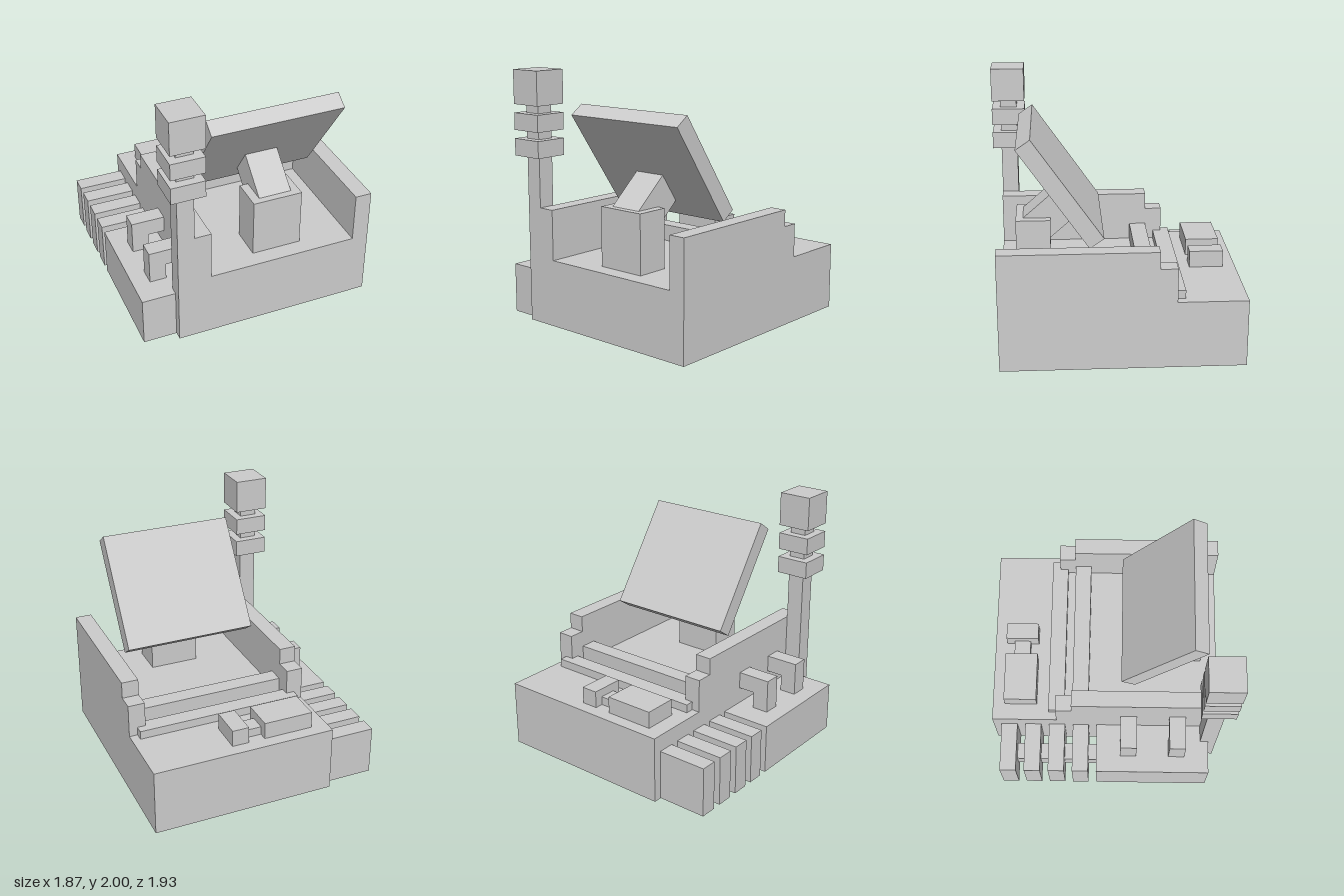
import * as THREE from 'three';

export function createModel() {
  const model = new THREE.Group();
  const grey = new THREE.MeshStandardMaterial({ color: 0xcccccc });
  grey.name = 'light grey';

  // box given by its extents on each axis
  const box = (name, [x0, x1], [y0, y1], [z0, z1]) => {
    const mesh = new THREE.Mesh(new THREE.BoxGeometry(x1 - x0, y1 - y0, z1 - z0), grey);
    mesh.position.set((x0 + x1) / 2, (y0 + y1) / 2, (z0 + z1) / 2);
    mesh.name = name;
    model.add(mesh);
    return mesh;
  };

  // side profile of [z, y] points, extruded from x0 to x1
  const profile = (name, points, x0, x1) => {
    const shape = new THREE.Shape(points.map(([z, y]) => new THREE.Vector2(-z, y)));
    const geometry = new THREE.ExtrudeGeometry(shape, { depth: x1 - x0, bevelEnabled: false });
    geometry.rotateY(Math.PI / 2);
    const mesh = new THREE.Mesh(geometry, grey);
    mesh.position.x = x0;
    mesh.name = name;
    model.add(mesh);
  };

  // main body with stepped side walls
  box('base', [-0.533, 0.933], [0, 0.533], [-0.967, 0.9]);
  const wall = [[0.9, 0.533], [-0.433, 0.533], [-0.433, 0.8], [-0.3, 0.8], [-0.3, 0.933], [0.9, 0.933]];
  profile('rightWall', wall, -0.533, -0.4);
  profile('leftWall', wall, 0.8, 0.933);

  // low bars across the deck
  box('rearSill', [-0.467, 0.867], [0.533, 0.6], [-0.5, -0.367]);
  box('crossBar', [-0.4, 0.8], [0.533, 0.667], [-0.3, -0.167]);

  // rear motor
  box('motorBody', [-0.4, 0], [0.533, 0.667], [-0.867, -0.6]);
  box('motorShaft', [0, 0.133], [0.533, 0.6], [-0.8, -0.667]);
  box('motorCap', [0.133, 0.267], [0.533, 0.667], [-0.867, -0.6]);

  // side cabinet, cooling fins and the spine joining them
  box('sideCabinet', [-0.933, -0.533], [0, 0.4], [-0.1, 0.833]);
  for (let i = 0; i < 4; i++) {
    const z = -0.9 + i * 0.2;
    box('coolingFin', [-0.933, -0.533], [0, 0.4], [z, z + 0.133]);
    box('finSpine', [-0.8, -0.667], [0.133, 0.267], [z + 0.133, z + 0.2]);
  }

  // bent pipes from cabinet to wall
  for (const z of [0.1, 0.5]) {
    box('pipeRiser', [-0.8, -0.667], [0.4, 0.667], [z, z + 0.133]);
    box('pipeArm', [-0.667, -0.533], [0.533, 0.667], [z, z + 0.133]);
  }

  // mast with two collars and a head
  box('mast', [-0.667, -0.533], [0, 1.75], [0.767, 0.9]);
  for (const [name, y0, y1] of [['collar', 1.333, 1.467], ['collar', 1.533, 1.667], ['mastHead', 1.733, 2]]) {
    box(name, [-0.733, -0.467], [y0, y1], [0.7, 0.967]);
  }

  // pedestal, slanted bracket and tilted panel
  box('pedestal', [0, 0.4], [0.533, 1], [0.5, 0.767]);
  profile('bracket', [[0.445, 1.235], [0.295, 1.018], [0.58, 0.767], [0.73, 0.984]], 0.067, 0.333);
  const panel = box('panel', [-0.333, 0.733], [0.849, 1.782], [0.355, 0.488]);
  panel.rotation.x = THREE.MathUtils.degToRad(34.8);

  return model;
}
